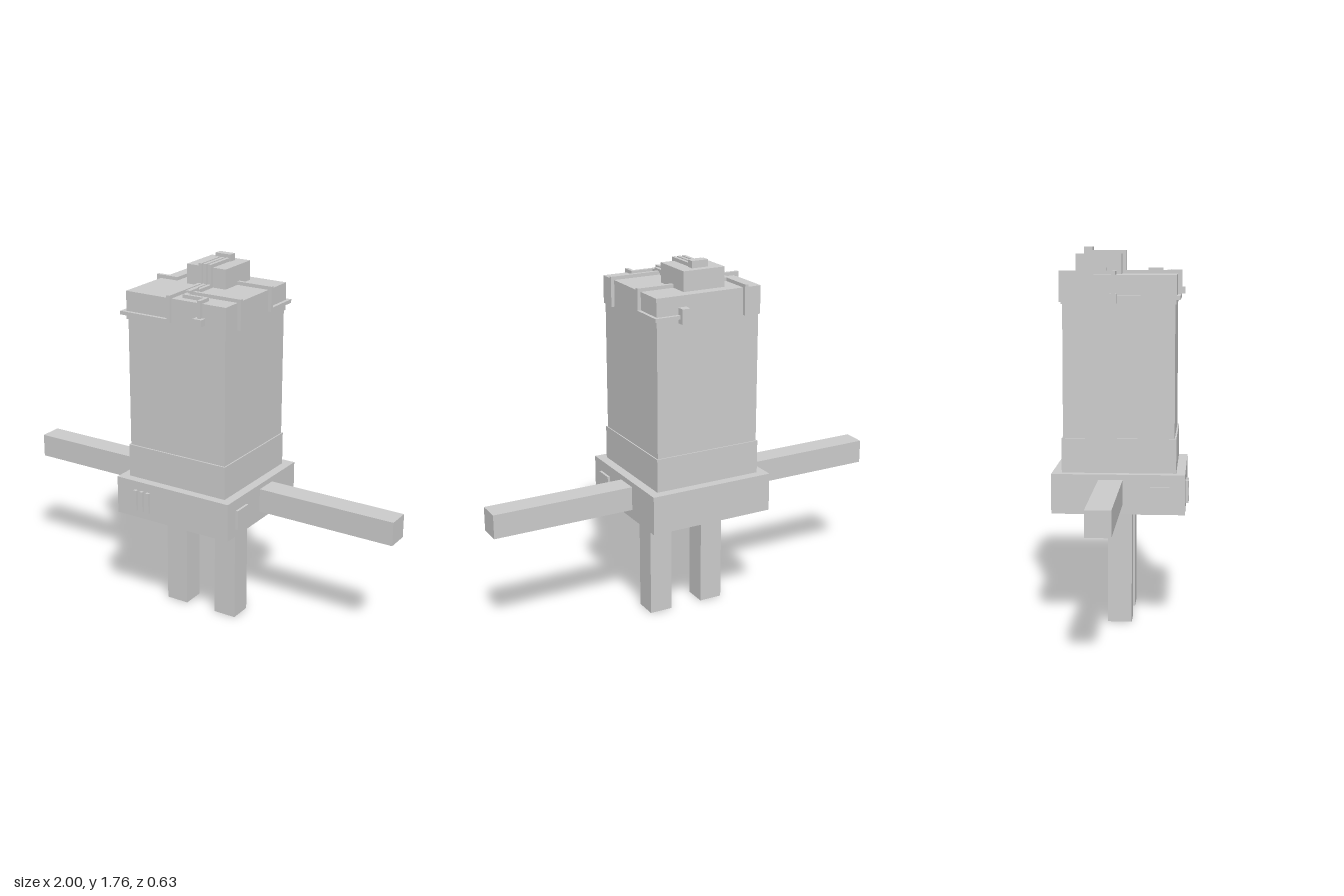
import * as THREE from 'three';

const material = new THREE.MeshStandardMaterial({ color: 0xcccccc, flatShading: true });

// Box given by its extents on each axis
function block(parent, name, [x0, x1], [y0, y1], [z0, z1]) {
  const mesh = new THREE.Mesh(new THREE.BoxGeometry(x1 - x0, y1 - y0, z1 - z0), material);
  mesh.name = name;
  mesh.position.set((x0 + x1) / 2, (y0 + y1) / 2, (z0 + z1) / 2);
  parent.add(mesh);
}

// Square-section pipe following axis-aligned segments
function pipe(parent, name, points, size = 0.017) {
  const group = new THREE.Group();
  group.name = name;
  const h = size / 2;
  for (let i = 1; i < points.length; i++) {
    const range = [0, 1, 2].map((k) => [
      Math.min(points[i - 1][k], points[i][k]) - h,
      Math.max(points[i - 1][k], points[i][k]) + h,
    ]);
    block(group, name + 'Segment', ...range);
  }
  parent.add(group);
}

export function createModel() {
  const model = new THREE.Group();
  model.name = 'boxRobot';

  // Torso stack
  block(model, 'hips', [-0.31, 0.31], [0.54, 0.725], [-0.315, 0.3]);
  block(model, 'collar', [-0.267, 0.267], [0.725, 0.885], [-0.27, 0.258]);
  block(model, 'body', [-0.261, 0.261], [0.885, 1.51], [-0.264, 0.25]);
  block(model, 'cap', [-0.267, 0.267], [1.5, 1.632], [-0.27, 0.256]);

  // Limbs and side panels, mirrored
  for (const s of [-1, 1]) {
    const side = (a, b) => (s > 0 ? [a, b] : [-b, -a]);
    block(model, 'arm', side(0.3, 1), [0.585, 0.7], [-0.098, 0.014]);
    block(model, 'leg', side(0.082, 0.197), [0, 0.545], [-0.063, 0.05]);
    block(model, 'sidePanel', side(0.3, 0.322), [0.577, 0.671], [0.137, 0.23]);
  }

  // Vent bars on the front of the hips
  for (const x of [-0.2, -0.165, -0.13])
    block(model, 'ventBar', [x - 0.008, x + 0.008], [0.578, 0.682], [0.29, 0.315]);

  // Control box and its connector on the cap
  block(model, 'controlBox', [-0.108, 0.102], [1.63, 1.725], [-0.218, -0.004]);
  block(model, 'connector', [-0.042, 0.04], [1.72, 1.758], [-0.183, -0.145]);

  // Pipes from the connector, over the box and down to the cap
  const top = 1.64, boxTop = 1.733, front = 0.265, back = -0.279, edge = 0.275;
  const start = (x) => [[x, boxTop, -0.15], [x, boxTop, 0.005], [x, top, 0.005]];
  pipe(model, 'frontWrapPipe', [
    ...start(-0.026), [-0.026, top, front], [-0.026, 1.53, front], [-edge - 0.007, 1.53, front],
    [-edge - 0.007, 1.53, -0.03], [-edge, top, -0.03], [-0.183, top, -0.03],
  ].flatMap((p, i) => (i === 7 ? [[-edge - 0.007, top, -0.03], p] : [p])));
  pipe(model, 'sideDropPipe', [
    ...start(0), [0, top, 0.15], [edge, top, 0.15], [edge, 1.515, 0.15],
  ]);
  pipe(model, 'bridgePipe', [
    ...start(0.026), [0.026, top, 0.123], [0.026, 1.65, 0.123], [0.026, 1.65, 0.177],
    [0.026, top, 0.177], [0.026, top, 0.212], [0.137, top, 0.212], [0.137, top, front], [0.137, 1.56, front],
  ]);

  // Pipes leaving the sides of the box
  pipe(model, 'backDropPipe', [
    [-0.183, top, -0.03], [-0.183, top, back], [-0.183, 1.515, back],
  ]);
  pipe(model, 'branchPipe', [[-0.183, top, -0.115], [-0.108, top, -0.115]]);
  pipe(model, 'backWrapPipe', [
    [0.1, top, -0.115], [edge, top, -0.115], [edge, 1.54, -0.115],
    [edge, 1.54, back - 0.005], [0.14, 1.54, back - 0.005],
  ]);

  // Pipe fittings
  block(model, 'frontFitting', [0.114, 0.16], [1.535, 1.567], [0.25, 0.288]);
  block(model, 'backFitting', [0.118, 0.158], [1.51, 1.58], [-0.31, -0.26]);
  block(model, 'sideFitting', [-0.3, -0.26], [1.505, 1.55], [-0.046, -0.013]);
  for (const z of [-0.157, -0.082])
    block(model, 'boxFitting', [-0.122, -0.1], [1.632, 1.662], [z - 0.01, z + 0.01]);

  return model;
}
